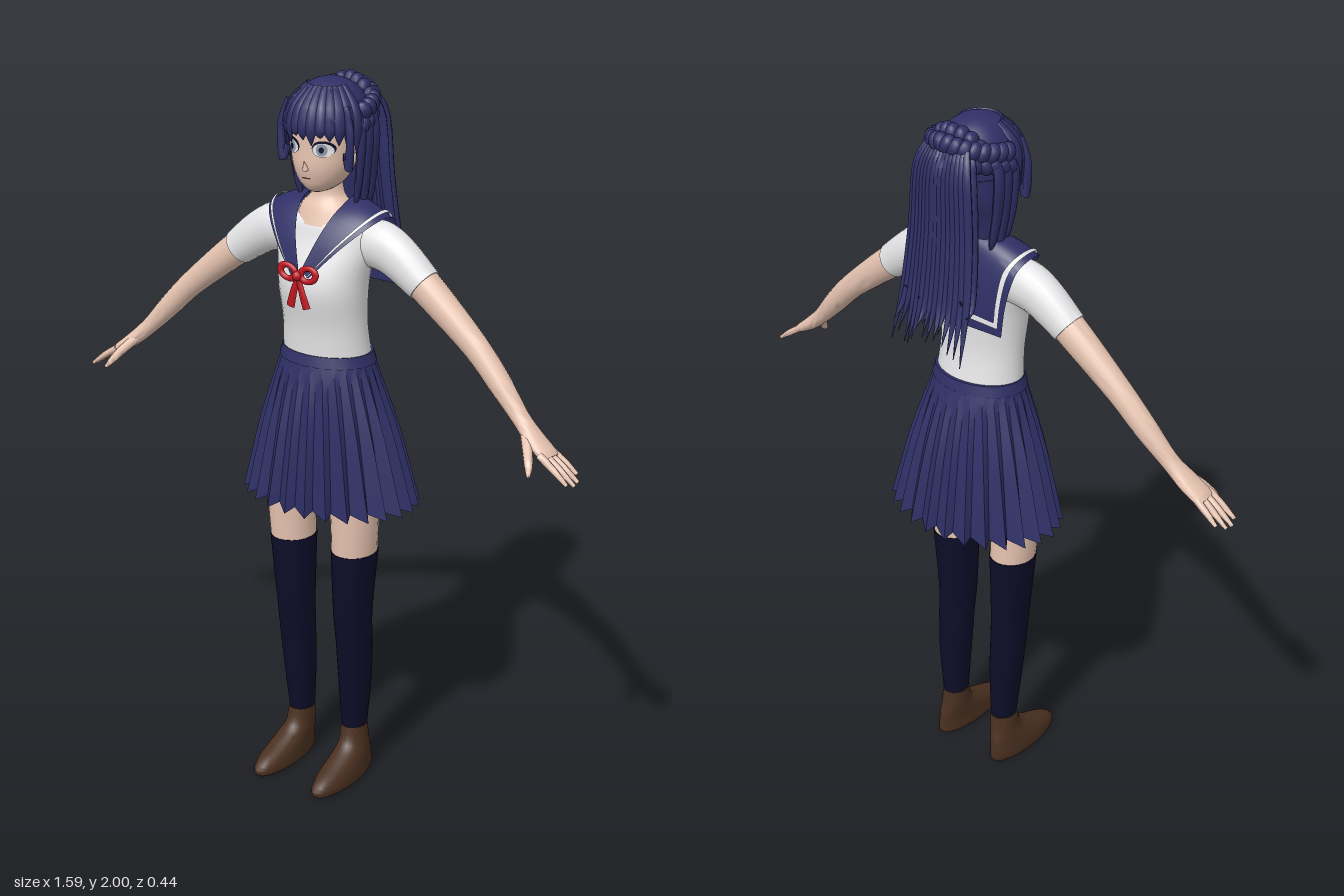
import * as THREE from 'three';
import { toCreasedNormals } from 'three/addons/utils/BufferGeometryUtils.js';

const V = (x, y, z) => new THREE.Vector3(x, y, z);
const { sin, cos, PI, sqrt, max, abs } = Math;

// Smooth rows of numbers with a Catmull-Rom rule, m steps per span
function smooth(rows, m = 4) {
  const at = i => rows[Math.min(max(i, 0), rows.length - 1)];
  const out = [];
  for (let i = 0; i < rows.length - 1; i++) {
    for (let k = 0; k < m; k++) {
      const t = k / m, [a, b, c, d] = [at(i - 1), at(i), at(i + 1), at(i + 2)];
      out.push(b.map((q, j) => 0.5 * (2 * q + (c[j] - a[j]) * t + (2 * a[j] - 5 * q + 4 * c[j] - d[j]) * t * t
        + (3 * q - a[j] - 3 * c[j] + d[j]) * t * t * t)));
    }
  }
  out.push(at(rows.length - 1));
  return out;
}

export function createModel() {
  const group = new THREE.Group();
  const mat = (name, color) => Object.assign(new THREE.MeshStandardMaterial({ color, side: THREE.DoubleSide }), { name });
  const navy = mat('navy', 0x2f2f66), dark = mat('dark stocking', 0x0c0c28), skin = mat('skin', 0xe6c3b0),
    white = mat('white cloth', 0xeeeef0), red = mat('red ribbon', 0xc01822), brown = mat('brown leather', 0x4a3020),
    grey = mat('grey iris', 0x9298ac);

  function add(name, geo, material, parent = group) {
    const mesh = new THREE.Mesh(geo, material);
    mesh.name = name;
    parent.add(mesh);
    return mesh;
  }
  function build(pos, index, crease) {
    const g = new THREE.BufferGeometry();
    g.setAttribute('position', new THREE.Float32BufferAttribute(pos, 3));
    g.setIndex(index);
    return toCreasedNormals(g, crease);
  }
  // Closed loft; each row is x, y, z, side radius, depth radius. flat keeps the rings level.
  function loft(name, material, rows, { n = 20, m = 4, flat = false, ref = V(0, 0, 1) } = {}) {
    const s = smooth(rows, m), cap = r => [r[0], r[1], r[2], 0, 0];
    const all = [cap(s[0]), ...s, cap(s[s.length - 1])], pos = [], idx = [];
    const P = all.map(r => V(r[0], r[1], r[2]));
    all.forEach((r, i) => {
      const t = flat ? V(0, -1, 0) : P[Math.min(i + 1, P.length - 1)].clone().sub(P[max(i - 1, 0)]).normalize();
      const v = ref.clone().addScaledVector(t, -ref.dot(t)).normalize(), u = v.clone().cross(t);
      for (let j = 0; j < n; j++) {
        const a = j / n * 2 * PI;
        pos.push(...P[i].clone().addScaledVector(u, max(r[3], 0) * cos(a)).addScaledVector(v, max(r[4], 0) * sin(a)).toArray());
        if (i < all.length - 1) {
          const p = i * n + j, q = i * n + (j + 1) % n;
          idx.push(p, q, p + n, q, q + n, p + n);
        }
      }
    });
    return add(name, build(pos, idx, 1), material);
  }
  // Open surface from fn(u, v) -> Vector3
  function patch(name, material, fn, nu, nv, crease = 1) {
    const pos = [], idx = [];
    for (let i = 0; i <= nu; i++) for (let j = 0; j <= nv; j++) {
      pos.push(...fn(i / nu, j / nv).toArray());
      if (i < nu && j < nv) {
        const p = i * (nv + 1) + j, q = p + nv + 1;
        idx.push(p, p + 1, q, p + 1, q + 1, q);
      }
    }
    return add(name, build(pos, idx, crease), material);
  }

  // Body: hips, neck and blouse
  loft('hips', skin, [[0, 1.15, .01, .14, .1], [0, 1, .01, .16, .1], [0, .92, .01, .14, .085], [0, .87, .01, .07, .05]], { flat: true });
  loft('neck', skin, [[0, 1.77, .005, .046, .046], [0, 1.7, 0, .048, .046], [0, 1.665, .008, .075, .055], [0, 1.62, .012, .095, .068]], { flat: true });
  loft('blouse', white, [[0, 1.648, .005, .1, .045], [0, 1.625, .01, .145, .066], [0, 1.58, .014, .155, .076], [0, 1.5, .026, .134, .098],
    [0, 1.44, .03, .127, .102], [0, 1.35, .022, .123, .092], [0, 1.25, .01, .13, .097]], { flat: true, n: 32 });

  for (const s of [1, -1]) {
    const side = s > 0 ? 'left' : 'right';
    const X = rows => rows.map(([x, ...r]) => [x * s, ...r]);
    // Arms
    loft(side + 'Sleeve', white, X([[.09, 1.575, 0, .062, .05], [.16, 1.577, 0, .066, .054], [.22, 1.553, .002, .06, .051], [.3, 1.495, .005, .049, .046]]));
    loft(side + 'Arm', skin, X([[.26, 1.525, .004, .046, .043], [.33, 1.472, .006, .044, .041], [.46, 1.365, .012, .035, .034],
      [.54, 1.285, .02, .031, .031], [.61, 1.212, .032, .023, .025], [.66, 1.168, .042, .02, .034], [.7, 1.14, .048, .015, .036], [.715, 1.13, .05, .01, .033]]));
    for (let f = 0; f < 4; f++) {
      const z = .024 + f * .018, len = [.8, .97, 1, .9][f];
      loft(side + 'Finger', skin, X([[.695, 1.143, z, .01, .01], [.695 + .05 * len, 1.143 - .033 * len, z + (f - 1.5) * .003, .009, .009],
        [.695 + .095 * len, 1.143 - .067 * len, z + (f - 1.5) * .005, .005, .005]]), { n: 8, m: 3 });
    }
    loft(side + 'Thumb', skin, X([[.635, 1.185, .045, .015, .016], [.665, 1.148, .085, .013, .013], [.685, 1.118, .112, .01, .01], [.695, 1.1, .13, .004, .004]]), { n: 10 });
    // Legs
    loft(side + 'Thigh', skin, X([[.092, 1.02, .03, .082, .085], [.106, .84, .035, .068, .071], [.103, .69, .03, .061, .069]]), { flat: true });
    loft(side + 'Stocking', dark, X([[.104, .707, .03, .0635, .071], [.098, .52, .029, .052, .062], [.098, .42, .022, .049, .057],
      [.096, .3, .014, .045, .052], [.092, .14, .01, .034, .04]]), { flat: true });
    loft(side + 'Shoe', brown, X([[.092, .15, .01, .036, .042], [.095, .1, .016, .038, .053], [.098, .07, .04, .041, .085], [.1, .045, .07, .044, .118],
      [.101, .025, .083, .046, .133], [.101, .008, .085, .046, .134], [.101, 0, .083, .043, .129]]), { flat: true, n: 24 });
  }

  // Pleated skirt: a flaring ring of sharp teeth
  const PLEATS = 26;
  const prof = smooth([[1.272, .128, .098, .01], [1.2, .152, .116, .008], [1.05, .2, .15, .002], [.84, .252, .186, -.004]], 4);
  patch('skirt', navy, (u, v) => {
    const col = Math.round(u * PLEATS * 2), tip = col % 2, row = prof[Math.round(v * 12)];
    const a = (col + (tip ? .5 * v : 0)) / (PLEATS * 2) * 2 * PI, k = 1 + (tip ? .05 : -.09) * v;
    return V(row[1] * k * sin(a), row[0] + (tip ? 0 : .014 * v ** 4), row[3] + row[2] * k * cos(a));
  }, PLEATS * 2, 12, .5);
  loft('waistband', navy, [[0, 1.275, .01, .132, .101], [0, 1.245, .01, .141, .108]], { flat: true, n: 32, m: 1 });

  // Sailor collar: inner edge xyz, outer edge xyz, from the knot over the shoulder to the back hem
  const collarRows = smooth([
    [.004, 1.515, .137, .028, 1.497, .138], [.034, 1.595, .107, .1, 1.575, .106], [.056, 1.655, .064, .16, 1.635, .055],
    [.066, 1.688, .005, .179, 1.652, 0], [.05, 1.69, -.042, .174, 1.635, -.045], [0, 1.665, -.068, .166, 1.595, -.066],
    [0, 1.56, -.088, .156, 1.53, -.078], [0, 1.45, -.092, .15, 1.45, -.084]], 5);
  const collar = (s, lift) => (u, v) => {
    const f = u * (collarRows.length - 1), i = Math.min(Math.floor(f), collarRows.length - 2);
    const r = collarRows[i].map((q, j) => q + (collarRows[i + 1][j] - q) * (f - i));
    const p = V(r[0], r[1], r[2]).lerp(V(r[3], r[4], r[5]), v);
    p.y += .008 * sin(PI * v) * sin(PI * u);
    p.sub(V(0, 1.5, 0)).multiplyScalar(lift).add(V(0, 1.5, 0));
    return V(p.x * s, p.y, p.z);
  };
  for (const s of [1, -1]) {
    patch('sailorCollar', navy, collar(s, 1), 35, 8);
    patch('collarStripe', white, (u, v) => collar(s, 1.03)(u * .955, .8 + v * .08), 35, 1);
    patch('collarBackStripe', white, (u, v) => collar(s, 1.03)(.935 + u * .02, v * .88), 1, 8);
  }

  // Ribbon bow
  for (const s of [1, -1]) {
    const loop = add('bowLoop', new THREE.TorusGeometry(.018, .008, 8, 20), red);
    loop.scale.set(1.35, 1, .8);
    loop.position.set(s * .032, 1.508, .144);
    loop.rotation.z = s * .25;
    loft('bowTail', red, [[0, 1.5, .144, .008, .006], [s * .014, 1.455, .145, .011, .005], [s * .026, 1.415, .142, .013, .005]], { n: 8 });
  }
  add('bowKnot', new THREE.SphereGeometry(.014, 14, 10), red).position.set(0, 1.502, .147);

  // Head and face
  const faceRows = [[0, 1.96, 0, .07, .08], [0, 1.9, .008, .094, .098], [0, 1.83, .014, .092, .094], [0, 1.78, .024, .083, .085],
    [0, 1.74, .034, .062, .066], [0, 1.717, .043, .034, .043], [0, 1.708, .05, .012, .018]];
  loft('head', skin, faceRows, { flat: true, n: 28 });
  const face = smooth(faceRows, 4);
  const faceZ = (x, y) => {
    const i = max(face.findIndex(r => r[1] <= y), 1), a = face[i - 1], b = face[i], t = (y - a[1]) / (b[1] - a[1]);
    const [, , z, rx, rz] = a.map((q, j) => q + (b[j] - q) * t);
    return z + rz * sqrt(max(0, 1 - (x / rx) ** 2));
  };
  function plate(name, material, cx, cy, rx, ry, off) {
    const g = new THREE.CircleGeometry(1, 20), p = g.attributes.position;
    for (let i = 0; i < p.count; i++) {
      const x = cx + p.getX(i) * rx, y = cy + p.getY(i) * ry;
      p.setXYZ(i, x, y, faceZ(x, y) + off);
    }
    g.computeVertexNormals();
    add(name, g, material);
  }
  for (const s of [1, -1]) {
    plate('eyeLash', dark, s * .046, 1.833, .027, .02, .002);
    plate('eyeWhite', white, s * .046, 1.829, .024, .018, .004);
    plate('iris', grey, s * .045, 1.83, .013, .016, .0055);
    plate('pupil', dark, s * .045, 1.83, .006, .008, .007);
    const ear = add('ear', new THREE.SphereGeometry(1, 12, 10), skin);
    ear.scale.set(.012, .03, .018);
    ear.position.set(s * .092, 1.81, .012);
  }
  plate('mouth', brown, 0, 1.752, .014, .002, .002);
  const nose = add('nose', new THREE.ConeGeometry(.009, .026, 10), skin);
  nose.position.set(0, 1.787, .112);
  nose.rotation.x = .3;

  // Hair cap, longer at the back than over the forehead
  const capPt = (a, phi, k = 1) => {
    const r = (phi < PI / 2 ? sin(phi) : 1 - .3 * (1 - sin(phi))) * k;
    return V(.107 * sin(a) * r, 1.88 + .118 * cos(phi) * k, .117 * cos(a) * r);
  };
  patch('hairCap', navy, (u, v) => {
    const a = u * 2 * PI, back = THREE.MathUtils.smoothstep(-cos(a), -.3, .2);
    return capPt(a, v * (1.5 + .8 * back));
  }, 40, 14);
  loft('napeHair', navy, [[0, 1.86, -.035, .1, .075], [0, 1.8, -.035, .1, .064], [0, 1.73, -.028, .088, .04], [0, 1.66, -.025, .07, .03]], { flat: true });
  const lock = (name, rows, ref) => loft(name, navy, rows, { n: 8, m: 4, ref });

  // Fringe
  for (let i = 0; i < 13; i++) {
    const a = (i - 6) / 6 * 1.3, out = V(sin(a), 0, cos(a));
    const p = capPt(a, .55), q = capPt(a, 1.1, 1.015), r = capPt(a, 1.57, 1.04);
    const tip = 1.842 + [.012, 0, .02][i % 3] - (abs(a) > 1 ? .04 : 0);
    lock('fringeLock', [[p.x, p.y, p.z, .01, .006], [q.x, q.y, q.z, .017, .009], [r.x, r.y, r.z, .016, .008], [r.x * .97, tip, r.z * .97, .001, .001]], out);
  }
  // Long side locks and braids
  for (const s of [1, -1]) {
    [[.065, 1.79, .011], [.015, 1.67, .014], [-.015, 1.65, .018], [-.045, 1.66, .018]].forEach(([z, end, w]) =>
      lock('sideLock', [[s * .09, 1.94, z * .9, w * .7, .008], [s * .108, 1.87, z, w, .011], [s * .104, 1.78, z, w, .01],
        [s * .092, end + .03, z - .005, w * .7, .008], [s * .085, end, z - .005, .001, .001]], V(s, 0, 0)));
    for (let i = 0; i < 8; i++) {
      const a = 1.55 + i * .215;
      for (const h of [0, 1]) {
        const bead = add('braidBead', new THREE.SphereGeometry(1, 12, 8), navy);
        bead.scale.set(.021, .027, .022);
        bead.position.set(s * .1 * sin(a), 1.885 + .035 * h + i * .005, .117 * cos(a) - .007 * h);
        bead.rotation.set(0, s * a, s * (h ? .5 : -.5));
      }
    }
  }
  // Crown rows above the tail
  for (let i = -3; i <= 3; i++) {
    const bead = add('crownBraid', new THREE.SphereGeometry(1, 12, 8), navy);
    bead.scale.set(.019, .026, .024);
    bead.position.set(i * .024, 1.972 - .0035 * i * i, -.075 - .006 * (3 - abs(i)));
  }

  // Tail of loose strands
  let seed = 7;
  const rand = () => (seed = (seed * 16807) % 2147483647) / 2147483647;
  for (let i = 0; i < 30; i++) {
    const f = (i % 15 - 7) / 7, outer = i < 15 ? 1 : 0, end = 1.34 + .14 * rand() + .06 * abs(f) + (outer ? 0 : .06);
    const d = .024 * outer + .012 * (1 - f * f), w = .011 + .005 * rand();
    lock('tailStrand', [[f * .06, 1.945, -.095 - d * .8, w * .8, .008], [f * .08, 1.88, -.115 - d, w, .011], [f * .092, 1.72, -.122 - d, w, .01],
      [f * .105, 1.55, -.145 - d, w * .8, .008], [f * .115 + .01 * (rand() - .5), end, -.184 - d, .001, .001]]);
  }
  return group;
}
